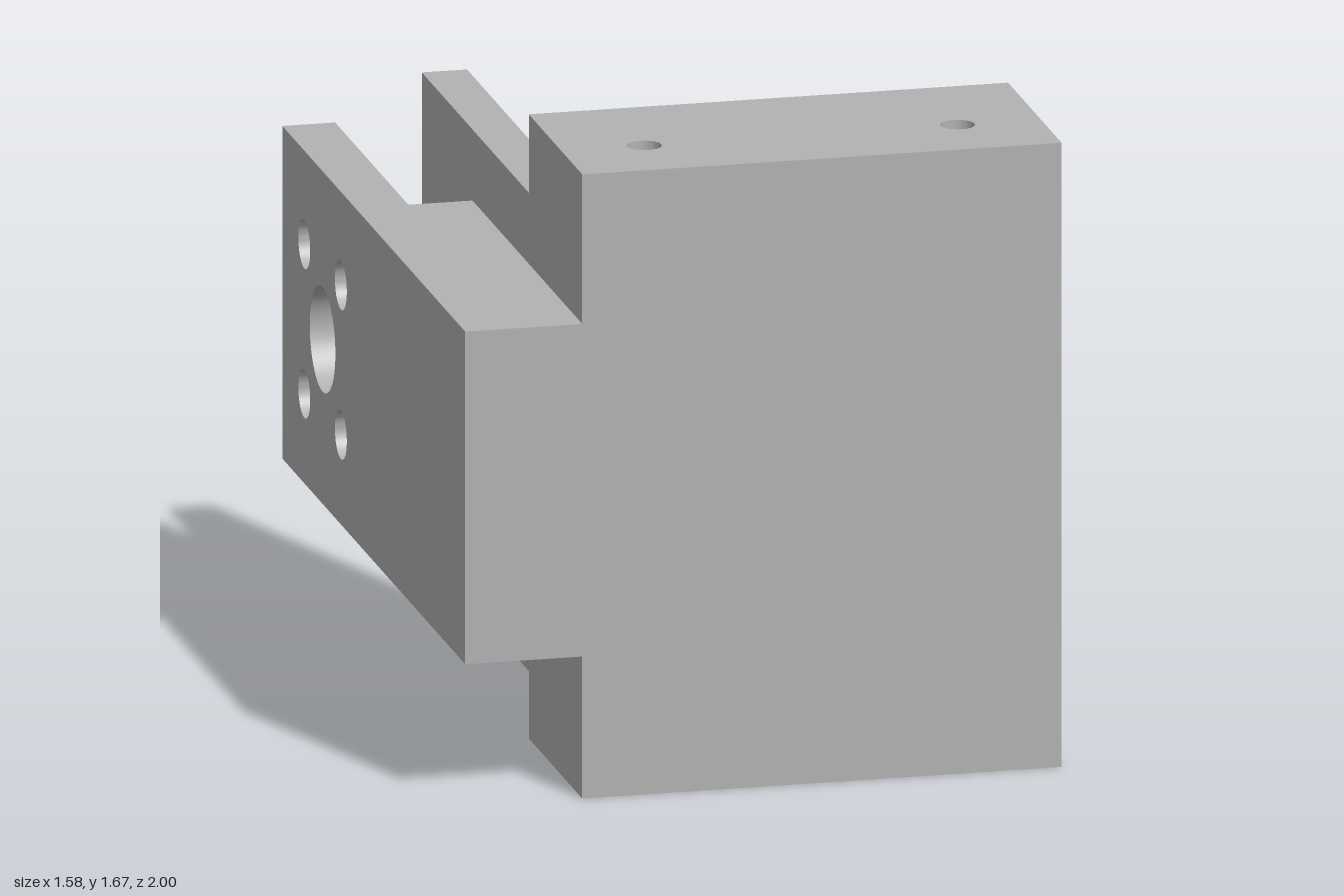
import * as THREE from 'three';
import { toCreasedNormals } from 'three/addons/utils/BufferGeometryUtils.js';

const FRONT = 1, BACK = 0.415, LEFT = 0.79, RIGHT = -0.48, T = 0.12;
const HEIGHT = 1.67, FLOOR = T, CEIL = HEIGHT - T;
const WALL_LOW = 0.18, WALL_HIGH = 1.46;
const MOUNT = { z: -0.56, y: 0.82, half: 0.2, screw: 0.065, bore: 0.14 };

export function createModel() {
  const group = new THREE.Group();
  const grey = new THREE.MeshStandardMaterial({ color: 0xb2b2b2 });
  grey.name = 'plain grey';

  const add = (name, geometry) => {
    const mesh = new THREE.Mesh(geometry, grey);
    mesh.name = name;
    group.add(mesh);
  };
  const extrude = (shape, depth) =>
    new THREE.ExtrudeGeometry(shape, { depth, bevelEnabled: false, curveSegments: 24 });

  // Shape drawn in (-z, y), thickened along x
  const slabX = (name, shape, x0, x1) => add(name,
    toCreasedNormals(extrude(shape, x1 - x0).rotateY(Math.PI / 2).translate(x0, 0, 0), 0.5));
  // Shape drawn in (x, -z), thickened along y
  const slabY = (name, shape, y0, y1) => add(name,
    toCreasedNormals(extrude(shape, y1 - y0).rotateX(-Math.PI / 2).translate(0, y0, 0), 0.5));
  const box = (name, x0, x1, y0, y1, z0, z1) => add(name,
    new THREE.BoxGeometry(x1 - x0, y1 - y0, z1 - z0)
      .translate((x0 + x1) / 2, (y0 + y1) / 2, (z0 + z1) / 2));
  const hole = (shape, u, v, r) =>
    shape.holes.push(new THREE.Path().absarc(u, v, r, 0, Math.PI * 2, true));

  // Top plate with two screw holes
  const top = new THREE.Shape();
  top.moveTo(RIGHT, -FRONT).lineTo(LEFT, -FRONT).lineTo(LEFT, -BACK).lineTo(RIGHT, -BACK);
  for (const x of [-0.26, 0.57]) hole(top, x, -0.77, 0.045);
  slabY('topPlate', top, CEIL, HEIGHT);

  // Bottom plate with screw holes and a shallow arc in its back edge
  const a = RIGHT + T, b = LEFT - T, half = (b - a) / 2, sag = 0.13;
  const R = (half * half + sag * sag) / (2 * sag), ang = Math.asin(half / R);
  const bottom = new THREE.Shape();
  bottom.moveTo(RIGHT, -FRONT).lineTo(LEFT, -FRONT).lineTo(LEFT, -BACK).lineTo(b, -BACK);
  bottom.absarc((a + b) / 2, -BACK - sag + R, R, -Math.PI / 2 + ang, -Math.PI / 2 - ang, true);
  bottom.lineTo(RIGHT, -BACK);
  for (const x of [-0.26, 0.57]) hole(bottom, x, -0.6, 0.045);
  slabY('bottomPlate', bottom, 0, FLOOR);

  // Front wall between the side walls
  box('frontWall', a, b, FLOOR, CEIL, FRONT - T, FRONT);

  // Side walls, lower in height behind the housing
  const sideShape = (backZ, notches = []) => {
    const s = new THREE.Shape();
    s.moveTo(-FRONT, FLOOR).lineTo(-BACK, FLOOR).lineTo(-BACK, WALL_LOW).lineTo(-backZ, WALL_LOW);
    for (const y of notches) {
      s.lineTo(-backZ, y - MOUNT.screw);
      s.absarc(-backZ, y, MOUNT.screw, -Math.PI / 2, Math.PI / 2, true);
    }
    s.lineTo(-backZ, WALL_HIGH).lineTo(-BACK, WALL_HIGH).lineTo(-BACK, CEIL).lineTo(-FRONT, CEIL);
    return s;
  };
  const screwY = [MOUNT.y - MOUNT.half, MOUNT.y + MOUNT.half];
  slabX('leftWall', sideShape(0.15), b, LEFT);

  // Long right wall: solid inner skin, outer layer with blind pockets
  const wallEnd = -0.755, skin = a - 0.025;
  slabX('rightWallSkin', sideShape(wallEnd), skin, a);
  const pocketed = sideShape(wallEnd, screwY);
  for (const y of screwY) hole(pocketed, -(MOUNT.z + MOUNT.half), y, MOUNT.screw);
  hole(pocketed, -MOUNT.z, MOUNT.y, MOUNT.bore);
  slabX('rightWallPockets', pocketed, RIGHT, skin);

  // Spacer block and drilled mounting arm
  const armOut = -0.79, armIn = -0.65, armLow = 0.38, armHigh = 1.27;
  box('spacerBlock', armIn, RIGHT, armLow, armHigh, -0.2, FRONT);
  const arm = new THREE.Shape();
  arm.moveTo(-FRONT, armLow).lineTo(1, armLow).lineTo(1, armHigh).lineTo(-FRONT, armHigh);
  for (const y of screwY)
    for (const s of [-1, 1]) hole(arm, -(MOUNT.z + s * MOUNT.half), y, MOUNT.screw);
  hole(arm, -MOUNT.z, MOUNT.y, MOUNT.bore);
  slabX('mountingArm', arm, armOut, armIn);

  return group;
}
